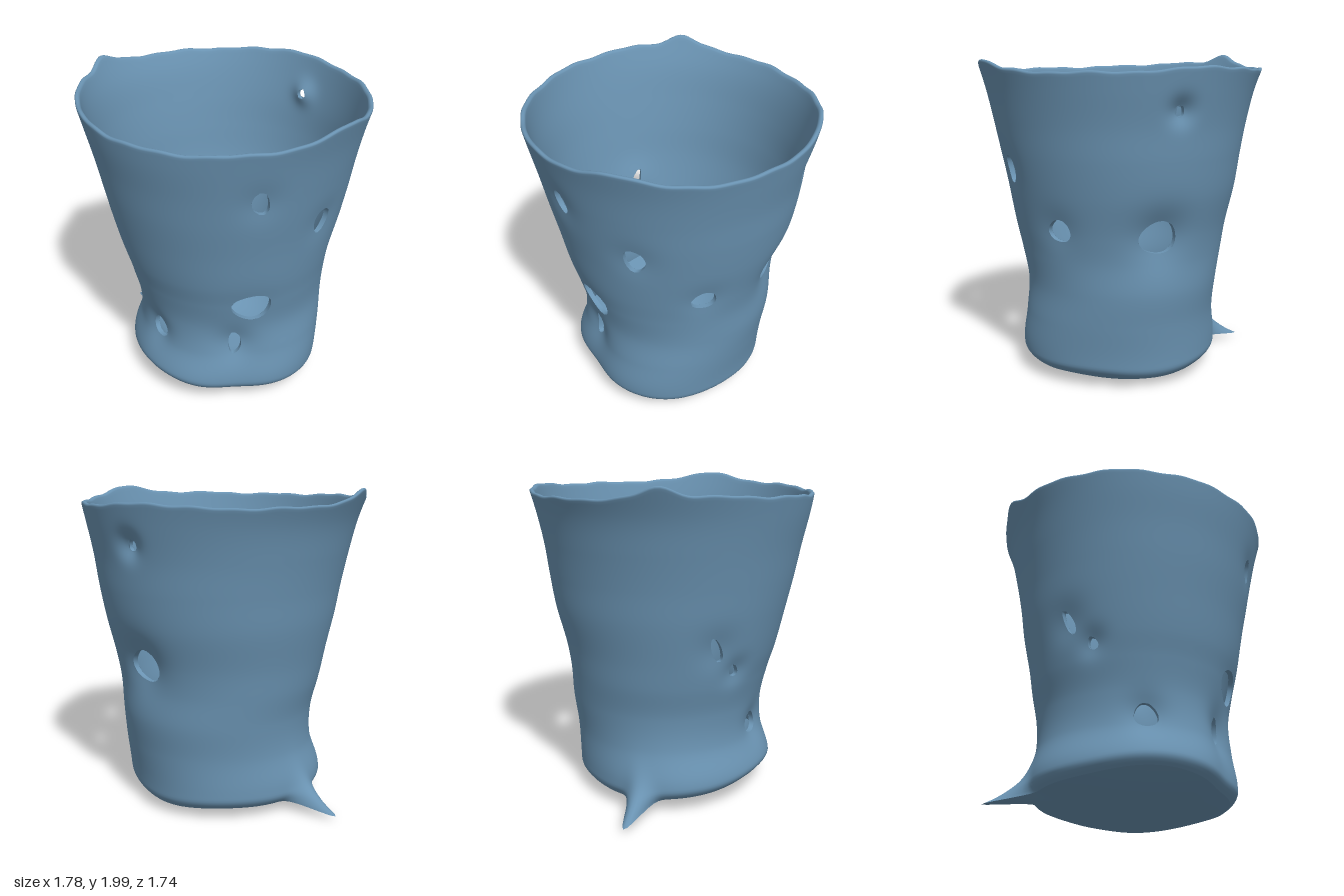
import * as THREE from 'three';

const SEG = 200, OUTER_ROWS = 120, INNER_ROWS = 80, RIM_ROWS = 6, RINGS = 24;
const THICK = 0.03;
const TAU = Math.PI * 2, DEG = Math.PI / 180;
const { lerp } = THREE.MathUtils;
const bell = (d, width) => Math.exp(-(d / width) * (d / width));
const angleDiff = (a, b) => Math.atan2(Math.sin(a - b), Math.cos(a - b));

// Wall reach towards +x, -x, +z, -z at each height
const HEIGHTS = [0, 0.2, 0.4, 0.6, 0.8, 0.95, 1.2, 1.4, 1.6, 1.8, 2.0];
const REACH = [
  0.62, 0.63, 0.62, 0.59,
  0.645, 0.63, 0.635, 0.60,
  0.63, 0.59, 0.575, 0.625,
  0.615, 0.595, 0.575, 0.655,
  0.645, 0.635, 0.62, 0.66,
  0.675, 0.66, 0.665, 0.685,
  0.72, 0.71, 0.725, 0.75,
  0.76, 0.74, 0.77, 0.785,
  0.80, 0.78, 0.81, 0.81,
  0.845, 0.83, 0.855, 0.85,
  0.905, 0.915, 0.89, 0.89,
];
const reachAt = new THREE.CubicInterpolant(HEIGHTS, REACH, 4);

// Holes: angle, height, half width, half height, tilt, inward dent
const HOLES = [
  [30, 1.58, 0.05, 0.078, -0.2, 0.015],
  [-4, 1.32, 0.065, 0.085, 0, 0.015],
  [-37, 0.99, 0.078, 0.068, 0, 0.015],
  [31, 0.78, 0.125, 0.105, 0, 0.01],
  [42, 0.47, 0.045, 0.085, 0, 0.04],
  [95, 0.46, 0.075, 0.07, 0.3, 0.035],
  [136, 1.04, 0.032, 0.085, -0.4, 0.02],
  [123, 0.89, 0.03, 0.045, -0.6, 0.025],
  [-94, 1.69, 0.032, 0.035, 0, 0.045],
  [-89, 0.96, 0.12, 0.1, 0, 0.05],
].map(([a, y, w, h, tilt, dent]) => ({ a: a * DEG, y, w, h, tilt, dent, r: 0.62 + Math.max(0, y - 0.7) * 0.19 }));

const SPIKE_ANGLE = 178 * DEG;

// Uneven torn rim, tilted bottom edge, and the line where the inner floor starts
function rimY(a) {
  return 1.912 + 0.007 * Math.sin(3 * a + 1) + 0.004 * Math.sin(11 * a) + 0.003 * Math.sin(23 * a)
    + 0.055 * bell(angleDiff(a, 163 * DEG), 0.13)
    + 0.028 * bell(angleDiff(a, 160 * DEG), 0.6)
    + 0.055 * bell(angleDiff(a, -4 * DEG), 0.22)
    + 0.02 * bell(angleDiff(a, -103 * DEG), 0.2);
}
function baseY(a) {
  const s = Math.sin(a);
  return 0.09 + (s > 0 ? 0.06 : 0.02) * s * Math.abs(s) + 0.006 * Math.sin(5 * a);
}
const bowlY = (a) => 0.43 - 0.1 * Math.cos(a) - 0.07 * Math.sin(a);

// Point on the dented wall, moved inwards by inset
function wallPoint(a, y, inset = 0, spike = 0) {
  const [px, nx, pz, nz] = reachAt.evaluate(y);
  const above = Math.max(0, y - baseY(a));
  let scale = 1 - 0.07 * Math.max(0, 1 - above / 0.07) ** 2 - inset * 2 / (px + nx);
  // squarish foot with a squashed corner
  scale += 0.015 * bell(y - 0.15, 0.35) * Math.cos(4 * (a - 75 * DEG));
  scale -= 0.065 * bell(angleDiff(a, 38 * DEG), 0.33) * bell(y - 0.22, 0.3);
  for (const h of HOLES) {
    const d = Math.hypot(angleDiff(a, h.a) * h.r, y - h.y);
    scale -= (h.dent / h.r) * bell(d, Math.max(h.w, h.h) + 0.04);
  }
  const pull = spike * bell(angleDiff(a, SPIKE_ANGLE), 0.11) * Math.exp(-above / 0.055);
  const p = new THREE.Vector3(
    (px - nx) / 2 + (px + nx) / 2 * scale * Math.cos(a), y,
    (pz - nz) / 2 + (pz + nz) / 2 * scale * Math.sin(a));
  p.x += 0.3 * pull * Math.cos(SPIKE_ANGLE);
  p.z += 0.3 * pull * Math.sin(SPIKE_ANGLE);
  p.y -= 0.055 * pull;
  return p;
}

// Wall coordinate on the slightly irregular edge of a hole
function holeEdge(h, t) {
  const k = 1 + 0.05 * Math.sin(3 * t + h.y * 9);
  const p = k * h.w * Math.cos(t), q = k * h.h * Math.sin(t);
  const c = Math.cos(h.tilt), s = Math.sin(h.tilt);
  return { a: h.a + (p * c - q * s) / h.r, y: h.y + p * s + q * c };
}

// Moves a wall coordinate that falls inside a hole out to its edge
function clearHole(a, y) {
  for (const h of HOLES) {
    const u = angleDiff(a, h.a) * h.r, v = y - h.y;
    const c = Math.cos(h.tilt), s = Math.sin(h.tilt);
    const p = (u * c + v * s) / h.w, q = (v * c - u * s) / h.h;
    if (Math.hypot(p, q) < 1) return { ...holeEdge(h, Math.atan2(q, p)), hole: h };
  }
  return { a, y, hole: null };
}

// Closed rings of points joined into a smooth surface, leaving holes open
function ringSurface(seg, rows, pointAt) {
  const pos = [], holes = [], index = [];
  for (let j = 0; j <= rows; j++) {
    for (let i = 0; i < seg; i++) {
      const { p, hole } = pointAt((i / seg) * TAU, j);
      pos.push(p.x, p.y, p.z);
      holes.push(hole);
    }
  }
  const face = (a, b, c) => {
    if (holes[a] && holes[a] === holes[b] && holes[a] === holes[c]) return;
    index.push(a, b, c);
  };
  for (let j = 0; j < rows; j++) {
    for (let i = 0; i < seg; i++) {
      const n = (i + 1) % seg;
      const a = j * seg + i, b = j * seg + n, c = a + seg, d = b + seg;
      face(a, b, c);
      face(b, d, c);
    }
  }
  const g = new THREE.BufferGeometry();
  g.setAttribute('position', new THREE.Float32BufferAttribute(pos, 3));
  g.setIndex(index);
  g.computeVertexNormals();
  return g;
}

export function createModel() {
  const group = new THREE.Group();
  group.name = 'batteredBucket';
  const steel = new THREE.MeshStandardMaterial({ color: 0x6a93b2, side: THREE.DoubleSide });
  steel.name = 'steel blue';
  const add = (name, geometry) => {
    const mesh = new THREE.Mesh(geometry, steel);
    mesh.name = name;
    group.add(mesh);
  };

  // Flared wall: up the inside, over the rounded rim, down the outside
  add('wall', ringSurface(SEG, INNER_ROWS + RIM_ROWS + OUTER_ROWS, (angle, j) => {
    const shoulder = rimY(angle) - THICK / 2;
    const over = THREE.MathUtils.clamp((j - INNER_ROWS) / RIM_ROWS, 0, 1) * Math.PI;
    let height = shoulder + THICK / 2 * Math.sin(over);
    if (j < INNER_ROWS) height = lerp(bowlY(angle), shoulder, j / INNER_ROWS);
    const down = j - INNER_ROWS - RIM_ROWS;
    if (down > 0) height = lerp(shoulder, baseY(angle), down / OUTER_ROWS);
    const { a, y, hole } = clearHole(angle, height);
    return { p: wallPoint(a, y, THICK / 2 * (1 + Math.cos(over)), down > 0 ? 1 : 0), hole };
  }));

  // Short sides of each hole through the wall
  for (const h of HOLES) {
    add('holeSide', ringSurface(40, 1, (t, j) => {
      const { a, y } = holeEdge(h, t);
      return { p: wallPoint(a, y, j * THICK) };
    }));
  }

  // Underside, drawn out into the spike at the edge
  add('underside', ringSurface(SEG, RINGS, (a, j) => {
    const k = 1 - j / RINGS;
    const edge = wallPoint(a, baseY(a));
    const spike = wallPoint(a, baseY(a), 0, 1).sub(edge).multiplyScalar(k ** 8);
    const p = new THREE.Vector3(edge.x * k, lerp(0.04, edge.y, k * k), edge.z * k);
    p.y -= 0.047 * (1 - k ** 8) * bell(Math.hypot(p.x - 0.2, p.z + 0.33), 0.35);
    return { p: p.add(spike) };
  }));

  // Bowl-shaped inner floor, deepest towards +x
  add('innerFloor', ringSurface(SEG, RINGS, (a, j) => {
    const k = j / RINGS;
    const edge = wallPoint(a, bowlY(a), THICK);
    const y = lerp(0.1, edge.y, k ** 3.2);
    return { p: new THREE.Vector3(lerp(0.12, edge.x, k), y, lerp(-0.05, edge.z, k)) };
  }));
  return group;
}
